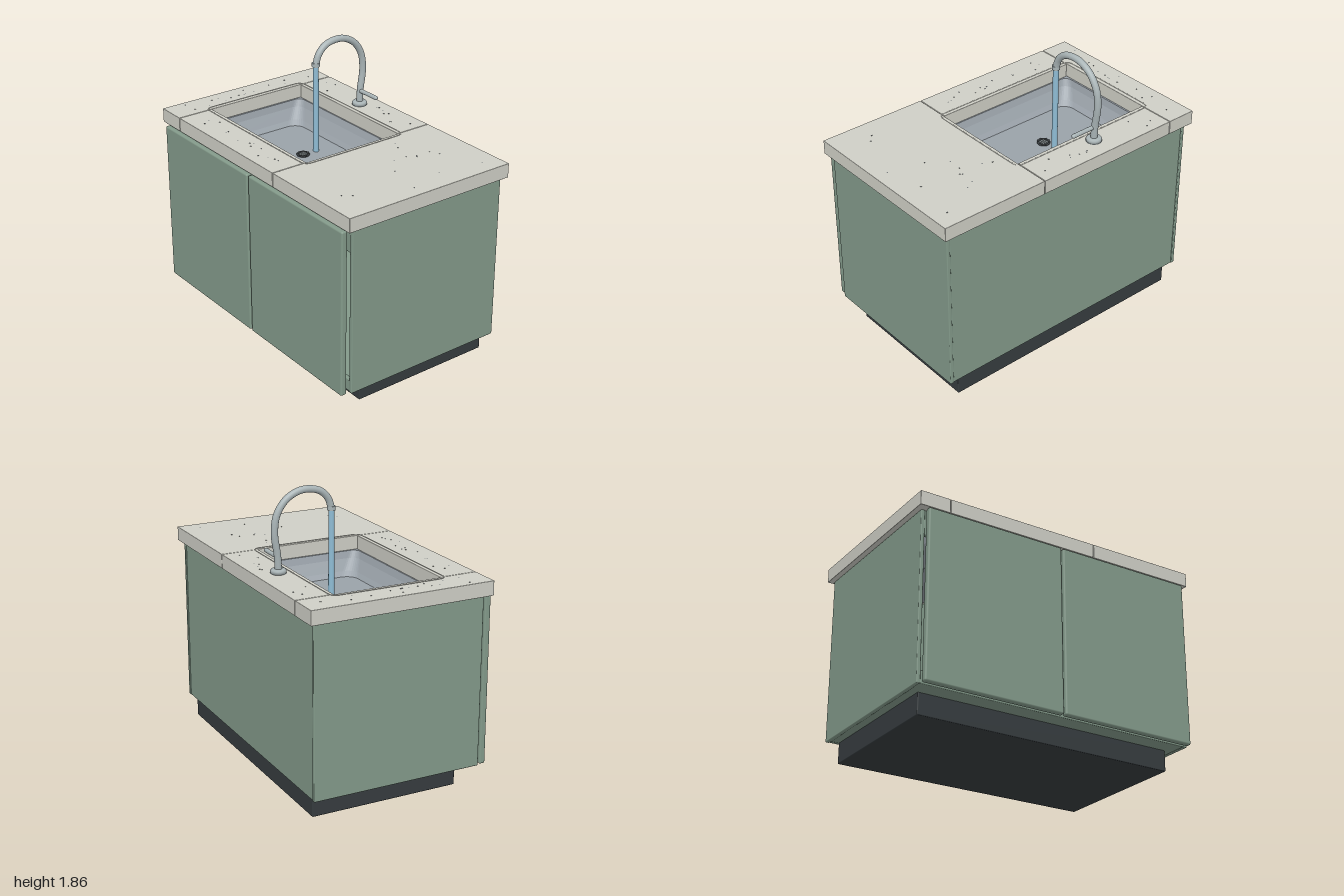
import * as THREE from 'three';
import { RoundedBoxGeometry } from 'three/addons/geometries/RoundedBoxGeometry.js';

const paint = (color, side = THREE.FrontSide) => new THREE.MeshStandardMaterial({ color, side });

export function createModel() {
  const model = new THREE.Group();
  model.name = 'sinkCabinet';

  const green = paint(0x839a8a);
  const stone = paint(0xcfcfc6);
  const speckMat = paint(0x74787a);
  const dark = paint(0x363c3f);
  const steel = paint(0x9aa2a9, THREE.DoubleSide);
  const chrome = paint(0xa9b4b6);
  const drainMat = paint(0x3c4144);
  const waterMat = paint(0x8fbcd4);

  const add = (name, geometry, material, x = 0, y = 0, z = 0) => {
    const mesh = new THREE.Mesh(geometry, material);
    mesh.name = name;
    mesh.position.set(x, y, z);
    model.add(mesh);
    return mesh;
  };
  // box given by its limits on each axis, with softened edges
  const block = (name, material, [x0, x1], [y0, y1], [z0, z1], r = 0.006) =>
    add(name, new RoundedBoxGeometry(x1 - x0, y1 - y0, z1 - z0, 2, r), material,
      (x0 + x1) / 2, (y0 + y1) / 2, (z0 + z1) / 2);

  // Plinth and hollow carcass
  block('plinth', dark, [-0.89, 0.89], [0, 0.14], [-0.56, 0.43]);
  for (const s of [-1, 1]) {
    block('sidePanel', green, [s * 0.955 - 0.013, s * 0.955 + 0.013], [0.135, 1.245], [-0.588, 0.552]);
  }
  block('backPanel', green, [-0.945, 0.945], [0.135, 1.245], [-0.583, -0.555]);
  block('bottomPanel', green, [-0.945, 0.945], [0.137, 0.165], [-0.57, 0.545]);
  block('lowerRail', green, [-0.945, 0.945], [0.137, 0.22], [0.52, 0.548]);
  block('upperRail', green, [-0.945, 0.945], [1.08, 1.245], [0.52, 0.548]);

  // Doors
  block('leftDoor', green, [0.006, 0.95], [0.13, 1.236], [0.574, 0.616], 0.012);
  block('rightDoor', green, [-0.95, -0.006], [0.13, 1.236], [0.574, 0.616], 0.012);

  // Worktop slabs around the sink opening
  const top = 1.34, thick = [1.246, top];
  block('worktopRight', stone, [-1, -0.797], thick, [-0.62, 0.6], 0.003);
  block('worktopLeft', stone, [0.252, 1], thick, [-0.62, 0.6], 0.003);
  block('worktopFront', stone, [-0.793, 0.248], thick, [0.35, 0.6], 0.003);
  block('worktopBack', stone, [-0.793, 0.248], thick, [-0.62, -0.37], 0.003);

  // Rounded rectangle outline, as [x, z] points
  const roundedRect = (x0, x1, z0, z1, r, n = 8) => {
    const pts = [];
    const corners = [[x1 - r, z1 - r], [x0 + r, z1 - r], [x0 + r, z0 + r], [x1 - r, z0 + r]];
    corners.forEach(([cx, cz], c) => {
      for (let i = 0; i <= n; i++) {
        const a = (c + i / n) * Math.PI / 2;
        pts.push([cx + r * Math.cos(a), cz + r * Math.sin(a)]);
      }
    });
    return pts;
  };

  // Thin seal line around the opening
  const sealPath = new THREE.CatmullRomCurve3(
    roundedRect(-0.825, 0.275, -0.395, 0.375, 0.04).map(([x, z]) => new THREE.Vector3(x, top, z)),
    true, 'centripetal');
  add('sinkSeal', new THREE.TubeGeometry(sealPath, 160, 0.003, 6, true), stone);

  // Sink walls lofted through rounded sections
  const floorY = 1.1;
  const sections = [
    [1.246, -0.83, 0.285, -0.4, 0.38, 0.06],
    [1.246, -0.787, 0.244, -0.364, 0.344, 0.05],
    [1.2, -0.775, 0.23, -0.345, 0.328, 0.06],
    [1.13, -0.735, 0.187, -0.302, 0.287, 0.075],
    [floorY, -0.71, 0.16, -0.28, 0.265, 0.08],
  ];
  const positions = [], indices = [];
  const rings = sections.map(([y, ...rect]) => {
    const ring = roundedRect(...rect);
    ring.forEach(([x, z]) => positions.push(x, y, z));
    return ring;
  });
  const count = rings[0].length;
  for (let s = 0; s < sections.length - 1; s++) {
    for (let i = 0; i < count; i++) {
      const a = s * count + i, b = s * count + (i + 1) % count;
      indices.push(a, b, a + count, b, b + count, a + count);
    }
  }
  const walls = new THREE.BufferGeometry();
  walls.setAttribute('position', new THREE.Float32BufferAttribute(positions, 3));
  walls.setIndex(indices);
  // the rim is split off so its edge stays sharp
  const bowl = walls.toNonIndexed();
  walls.setIndex(indices.slice(count * 6));
  walls.computeVertexNormals();
  bowl.setDrawRange(0, count * 6);
  bowl.computeVertexNormals();
  add('sinkRim', bowl, steel);
  add('sinkWalls', walls, steel);
  const floorShape = new THREE.Shape(rings.at(-1).map(([x, z]) => new THREE.Vector2(x, -z)));
  add('sinkFloor', new THREE.ShapeGeometry(floorShape).rotateX(-Math.PI / 2), steel, 0, floorY, 0);

  // Drain with slotted strainer
  const fx = -0.275;
  add('drainPlate', new THREE.CylinderGeometry(0.042, 0.042, 0.006, 32), drainMat, fx, floorY + 0.003, -0.01);
  add('drainRing', new THREE.TorusGeometry(0.038, 0.006, 8, 32).rotateX(Math.PI / 2), drainMat, fx, floorY + 0.006, -0.01);
  for (const i of [-1, 0, 1]) {
    add('drainBar', new THREE.BoxGeometry(0.006, 0.006, 0.045), chrome, fx + i * 0.014, floorY + 0.006, -0.01);
  }

  // Tap: base, swan neck, nozzle, lever
  const fz = -0.475;
  add('tapBase', new THREE.LatheGeometry([[0, 0], [0.05, 0], [0.05, 0.018], [0.044, 0.026], [0.026, 0.028], [0, 0.028]]
    .map(([r, y]) => new THREE.Vector2(r, y)), 32), chrome, fx, top, fz);
  const neck = new THREE.CatmullRomCurve3([
    [1.36, -0.475], [1.45, -0.48], [1.59, -0.498], [1.7, -0.482], [1.785, -0.425],
    [1.832, -0.34], [1.838, -0.26], [1.815, -0.185], [1.765, -0.137], [1.7, -0.115],
  ].map(([y, z]) => new THREE.Vector3(fx, y, z)));
  add('tapNeck', new THREE.TubeGeometry(neck, 64, 0.022, 16), chrome);
  add('tapNozzle', new THREE.CylinderGeometry(0.026, 0.026, 0.025, 24), chrome, fx, 1.703, -0.115);
  add('tapLever', new THREE.CapsuleGeometry(0.014, 0.16, 6, 16).rotateZ(Math.PI / 2), chrome, -0.185, 1.44, fz);

  // Running water
  add('water', new THREE.CylinderGeometry(0.019, 0.019, 1.695 - floorY, 20), waterMat, fx, (1.695 + floorY) / 2, -0.115);

  // Stone specks scattered over each slab: x range, z range, number
  let seed = 7;
  const random = () => (seed = (seed * 16807) % 2147483647) / 2147483647;
  const speck = new THREE.CylinderGeometry(0.005, 0.005, 0.003, 6);
  const areas = [
    [-0.96, -0.85, -0.56, 0.54, 16], [0.32, 0.95, -0.56, 0.54, 14],
    [-0.72, 0.18, 0.42, 0.54, 14], [-0.72, 0.18, -0.56, -0.44, 12],
  ];
  for (const [x0, x1, z0, z1, n] of areas) {
    for (let i = 0; i < n; i++) {
      const x = x0 + random() * (x1 - x0), z = z0 + random() * (z1 - z0);
      if (Math.hypot(x - fx, z - fz) > 0.06) add('stoneSpeck', speck, speckMat, x, top, z);
    }
  }
  return model;
}
